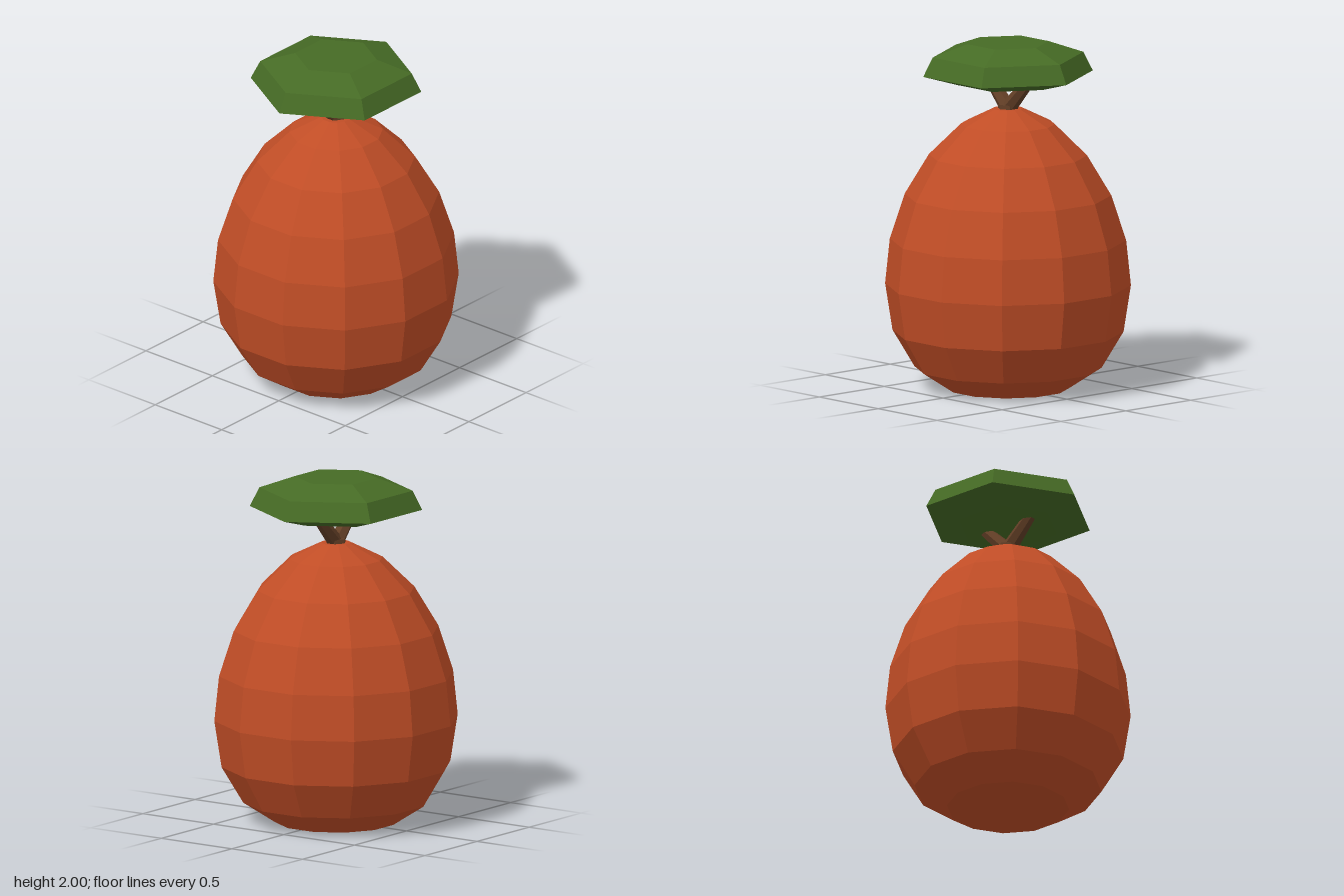
import * as THREE from 'three';

const flat = (name, color) => new THREE.MeshStandardMaterial({ name, color, flatShading: true });

// Faceted solid of revolution from [radius, height] pairs, listed bottom to top
function faceted(name, profile, sides, turn, material) {
  const points = profile.map(([r, y]) => new THREE.Vector2(r, y));
  const geometry = new THREE.LatheGeometry(points, sides).rotateY(turn);
  const mesh = new THREE.Mesh(geometry, material);
  mesh.name = name;
  return mesh;
}

// Tapered six-sided twig between two points
function twig(name, from, to, r0, r1, material) {
  const dir = to.clone().sub(from);
  const mesh = new THREE.Mesh(new THREE.CylinderGeometry(r1, r0, dir.length(), 6), material);
  mesh.position.copy(from).addScaledVector(dir, 0.5);
  mesh.quaternion.setFromUnitVectors(new THREE.Vector3(0, 1, 0), dir.normalize());
  mesh.name = name;
  return mesh;
}

export function createModel() {
  const model = new THREE.Group();
  model.name = 'fruitTree';
  const rust = flat('rustOrange', 0xc04d26);
  const green = flat('leafGreen', 0x466b25);
  const brown = flat('barkBrown', 0x633f26);

  // Twelve-sided egg-shaped body, flat sides facing the axes
  model.add(faceted('body', [
    [0, 0], [0.35, 0], [0.535, 0.12], [0.66, 0.33], [0.702, 0.6], [0.675, 0.86],
    [0.59, 1.12], [0.452, 1.35], [0.268, 1.53], [0.085, 1.62], [0, 1.62],
  ], 12, Math.PI / 12, rust));

  // Stub and forked twigs holding up the crown
  model.add(twig('stemStub', new THREE.Vector3(0, 1.56, 0), new THREE.Vector3(0, 1.645, 0), 0.06, 0.06, brown));
  for (const side of [-1, 1]) {
    model.add(twig(side > 0 ? 'leftBranch' : 'rightBranch',
      new THREE.Vector3(0, 1.62, 0), new THREE.Vector3(side * 0.19, 1.81, 0), 0.046, 0.032, brown));
  }

  // Hexagonal leafy crown with corners on the x axis
  model.add(faceted('crown', [
    [0, 1.765], [0.295, 1.765], [0.495, 1.82], [0.44, 1.93], [0.237, 2], [0, 2],
  ], 6, Math.PI / 6, green));

  return model;
}
